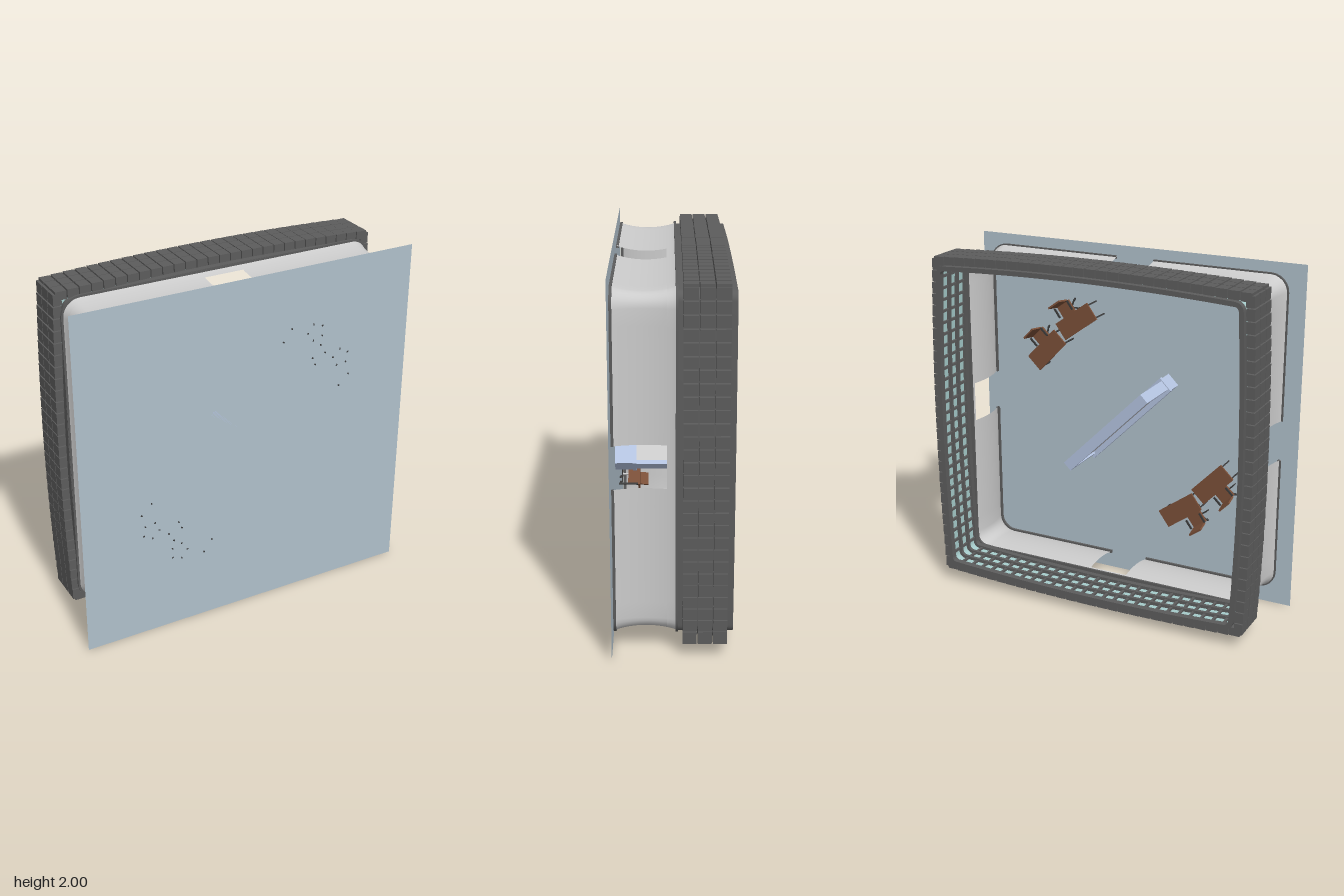
import * as THREE from 'three';
import { mergeGeometries, toCreasedNormals } from 'three/addons/utils/BufferGeometryUtils.js';

const mat = (color) => new THREE.MeshStandardMaterial({ color, side: THREE.DoubleSide });
const grey = mat(0xcccccc), dark = mat(0x5c5c5c), teal = mat(0xa6cccb), floorBlue = mat(0xb0c0cb),
  blue = mat(0xb4c3e0), brown = mat(0x7a4f38), black = mat(0x3a3a3a);

const FLOOR = 0.31, HALF = 0.905, BULGE = 0.025, DOOR = [-0.1, 0.13];

function add(parent, name, geometry, material, x = 0, y = 0, z = 0) {
  const m = new THREE.Mesh(geometry, material);
  m.name = name;
  m.position.set(x, y, z);
  parent.add(m);
  return m;
}
const box = (w, h, d, x = 0, y = 0, z = 0) => new THREE.BoxGeometry(w, h, d).translate(x, y, z);

// Quarter of a rounded square, from (half, start) round the corner to (end, half); entries are [x, y, nx, ny]
function quarter(half, r, bulge, start, end) {
  const pts = [], n = 8, c = half - r;
  const swell = (t) => half + bulge * (1 - (t / c) ** 2);
  for (let i = 0; i < n; i++) {
    const t = start + (c - start) * i / n;
    pts.push([swell(t), t, 1, 0]);
  }
  for (let i = 0; i <= 6; i++) {
    const a = Math.PI / 2 * i / 6, nx = Math.cos(a), ny = Math.sin(a);
    pts.push([c + r * nx, c + r * ny, nx, ny]);
  }
  for (let i = 1; i <= n; i++) {
    const t = c + (end - c) * i / n;
    pts.push([t, swell(t), 0, 1]);
  }
  return pts;
}
const turn = (p, k) => {
  const c = [1, 0, -1, 0][k], s = [0, 1, 0, -1][k];
  return p.map(([x, y, u, v]) => [c * x - s * y, s * x + c * y, c * u - s * v, s * u + c * v]);
};
const ringPath = (half, r, bulge) => [0, 1, 2, 3].flatMap((k) => turn(quarter(half, r, bulge, 0, 0), k));

// Sweeps a profile of [offset, z] pairs along a path
function sweep(path, profile, closed = false) {
  const pos = [], idx = [], m = profile.length;
  for (const [x, y, nx, ny] of path) for (const [o, z] of profile) pos.push(x + nx * o, y + ny * o, z);
  for (let i = 0; i < path.length - 1; i++) for (let j = 0; j < (closed ? m : m - 1); j++) {
    const a = i * m + j, b = i * m + (j + 1) % m;
    idx.push(a, a + m, b, b, a + m, b + m);
  }
  const g = new THREE.BufferGeometry();
  g.setAttribute('position', new THREE.Float32BufferAttribute(pos, 3));
  g.setIndex(idx);
  return toCreasedNormals(g, 0.6);
}
const bar = (o0, o1, z0, z1) => [[o0, z0], [o1, z0], [o1, z1], [o0, z1]];

// Concave wall with a doorway in each side
function buildWalls() {
  const g = new THREE.Group();
  g.name = 'walls';
  const offset = (z) => 0.02 - 0.03 * Math.sin(Math.PI * THREE.MathUtils.clamp((z + 0.03) / 0.33, 0, 1)) ** 0.7;
  const profile = (z0, z1, n) => Array.from({ length: n + 1 }, (_, i) => {
    const z = z0 + (z1 - z0) * i / n;
    return [offset(z), z];
  });
  add(g, 'upperWall', sweep(ringPath(0.9, 0.08, 0), profile(-0.03, 0.025, 4)), grey);
  add(g, 'wallTopTrim', sweep(ringPath(0.9, 0.08, 0), bar(-0.015, 0.026, -0.03, -0.018), true), dark);
  for (let k = 0; k < 4; k++) {
    const path = turn(quarter(0.9, 0.08, 0, DOOR[1], -DOOR[0]), k);
    add(g, 'cornerWall', sweep(path, profile(0.025, 0.3, 12)), grey);
    add(g, 'skirting', sweep(path, bar(0.004, 0.022, 0.288, 0.302), true), dark);
  }
  return g;
}

// Three-row glazed band, clad with blocks outside and mullions inside
function buildBand() {
  const g = new THREE.Group();
  g.name = 'glazedBand';
  const path = ringPath(HALF, 0.05, BULGE);
  add(g, 'glass', sweep(path, [[-0.008, -0.04], [-0.008, -0.3]]), teal);
  for (const [z0, z1] of [[-0.02, -0.06], [-0.122, -0.14], [-0.2, -0.218], [-0.28, -0.315]])
    add(g, 'rail', sweep(path, bar(-0.026, 0, z0, z1), true), dark);
  const blocks = [], mullions = [];
  for (let k = 0; k < 4; k++) for (let i = 0; i < 28; i++) {
    const t = (i - 13.5) * 0.067, x = HALF + BULGE * (1 - (t / HALF) ** 2);
    for (let row = 0; row < 3; row++)
      blocks.push(box(0.047, 0.061, 0.072, x + 0.0205, t, -0.091 - row * 0.078).rotateZ(k * Math.PI / 2));
    if (i > 0 && i < 27) mullions.push(box(0.018, 0.014, 0.25, x - 0.013, t, -0.17).rotateZ(k * Math.PI / 2));
  }
  add(g, 'claddingBlocks', mergeGeometries(blocks), dark);
  add(g, 'mullions', mergeGeometries(mullions), dark);
  return g;
}

// Furniture is built y-up, then laid so that its feet stand on the floor panel
function stand(inner, x, y, angle) {
  const holder = new THREE.Group();
  holder.name = inner.name + 'Placement';
  inner.rotation.x = -Math.PI / 2;
  holder.add(inner);
  holder.position.set(x, y, FLOOR);
  holder.rotation.z = angle;
  return holder;
}

function buildDivider() {
  const g = new THREE.Group();
  g.name = 'divider';
  add(g, 'base', box(0.68, 0.095, 0.085, 0, 0.0475), blue);
  add(g, 'baseCap', box(0.69, 0.022, 0.095, 0, 0.107), blue);
  add(g, 'panel', box(0.66, 0.25, 0.035, 0, 0.243), grey);
  add(g, 'topRail', box(0.68, 0.03, 0.06, 0, 0.375), blue);
  for (const s of [-1, 1]) add(g, 'endPost', box(0.025, 0.26, 0.06, s * 0.3275, 0.245), blue);
  return g;
}

function buildDesk() {
  const g = new THREE.Group();
  g.name = 'desk';
  add(g, 'deskTop', box(0.25, 0.01, 0.11, 0, 0.12), brown);
  add(g, 'modestyPanel', box(0.22, 0.06, 0.006, 0, 0.085, -0.04), brown);
  for (const sx of [-1, 1]) for (const sz of [-1, 1])
    add(g, 'deskLeg', box(0.008, 0.122, 0.008, sx * 0.114, 0.056, sz * 0.042), black);
  return g;
}

function buildChair() {
  const g = new THREE.Group();
  g.name = 'chair';
  add(g, 'seat', box(0.09, 0.014, 0.085, 0, 0.075), brown);
  const back = add(g, 'backrest', box(0.085, 0.085, 0.01, 0, 0.13, 0.05), brown);
  back.geometry.translate(0, -0.13, -0.05);
  back.position.set(0, 0.13, 0.05);
  back.rotation.x = 0.15;
  add(g, 'column', new THREE.CylinderGeometry(0.006, 0.006, 0.06, 8), grey, 0, 0.042);
  for (const s of [-1, 1]) add(g, 'armrest', box(0.01, 0.008, 0.06, s * 0.05, 0.105, 0.01), black);
  for (let i = 0; i < 5; i++) {
    const a = i * Math.PI * 0.4;
    const foot = new THREE.Group();
    foot.name = 'foot';
    foot.rotation.y = a;
    add(foot, 'spoke', box(0.05, 0.006, 0.008, 0.025, 0.016), black);
    add(foot, 'castor', new THREE.CylinderGeometry(0.009, 0.009, 0.006, 10).rotateX(Math.PI / 2), black, 0.05, 0.006);
    g.add(foot);
  }
  return g;
}

export function createModel() {
  const model = new THREE.Group();
  model.name = 'room';
  add(model, 'floorPanel', new THREE.PlaneGeometry(2, 2), floorBlue, 0, 1, FLOOR);

  const shell = new THREE.Group();
  shell.name = 'shell';
  shell.position.set(0.015, 1.02, 0);
  shell.add(buildWalls(), buildBand());
  model.add(shell);

  model.add(stand(buildDivider(), 0, 1.02, -Math.PI / 4));

  // Two workplaces in each of two opposite corners
  for (let k = 0; k < 2; k++) {
    const corner = new THREE.Group();
    corner.name = 'workCorner';
    corner.position.set(-0.015, 1.04, 0);
    corner.rotation.z = k * Math.PI;
    for (const [x, y, deg, cx, cy] of [[0.335, 0.52, -36, 0.42, 0.57], [0.53, 0.325, -46, 0.585, 0.385]]) {
      const a = THREE.MathUtils.degToRad(deg);
      corner.add(stand(buildDesk(), x, y, a), stand(buildChair(), cx, cy, a));
    }
    model.add(corner);
  }
  return model;
}
